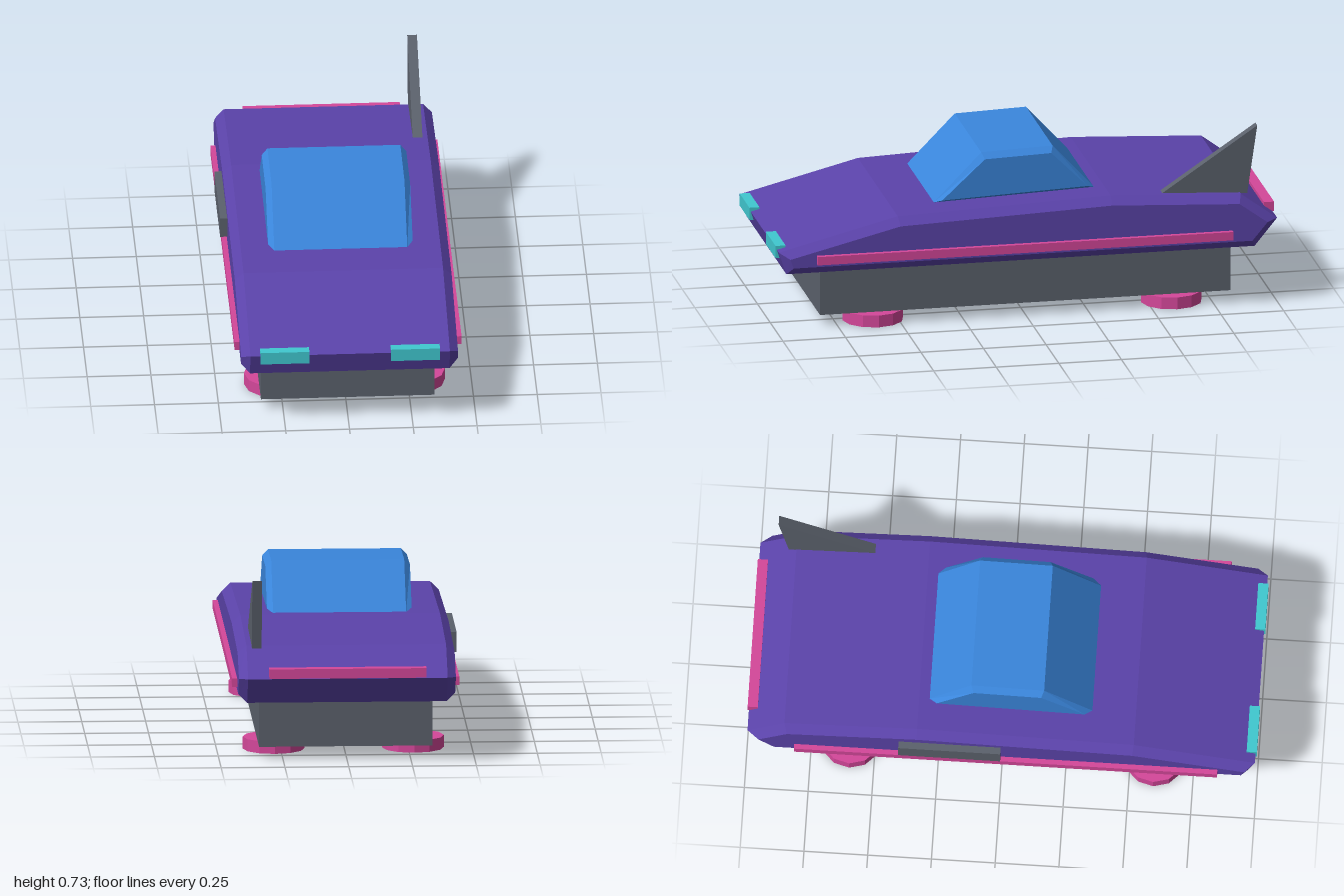
import * as THREE from 'three';

const flat = (name, color) => {
  const m = new THREE.MeshStandardMaterial({ color, flatShading: true });
  m.name = name;
  return m;
};

export function createModel() {
  const purple = flat('purple paint', 0x5b43aa);
  const blue = flat('blue glass', 0x3a86dc);
  const grey = flat('dark grey metal', 0x5b616c);
  const pink = flat('pink glow', 0xd4479a);
  const teal = flat('teal lamp', 0x40c8d0);

  const model = new THREE.Group();
  model.name = 'hoverCar';

  function add(name, geometry, material, x, y, z) {
    const mesh = new THREE.Mesh(geometry, material);
    mesh.name = name;
    mesh.position.set(x, y, z);
    model.add(mesh);
    return mesh;
  }

  // Box given by its limits on each axis
  function box(name, material, [x0, x1], [y0, y1], [z0, z1]) {
    return add(name, new THREE.BoxGeometry(x1 - x0, y1 - y0, z1 - z0), material,
      (x0 + x1) / 2, (y0 + y1) / 2, (z0 + z1) / 2);
  }

  // Side profile of [z, y] points, extruded across x with an optional chamfer
  function profile(name, material, points, x, width, chamfer = 0, inset = chamfer) {
    const shape = new THREE.Shape(points.map(([z, y]) => new THREE.Vector2(z, y)));
    const depth = width - 2 * chamfer;
    const geometry = new THREE.ExtrudeGeometry(shape, {
      depth, bevelEnabled: chamfer > 0, bevelSegments: 1,
      bevelThickness: chamfer, bevelSize: inset, bevelOffset: -inset,
    });
    geometry.translate(0, 0, -depth / 2);
    geometry.rotateY(-Math.PI / 2);
    return add(name, geometry, material, x, 0, 0);
  }

  const mid = 0.003;

  // Wedge body and cabin
  profile('body', purple, [
    [0.995, 0.33], [0.52, 0.45], [-0.33, 0.483], [-0.85, 0.457],
    [-0.995, 0.35], [-0.905, 0.24], [0.965, 0.24],
  ], mid, 0.85, 0.034, 0.032);
  profile('cabin', blue, [
    [0.35, 0.456], [0.16, 0.65], [-0.125, 0.66], [-0.29, 0.48],
  ], mid, 0.567, 0.023, 0.023);

  // Undercarriage
  box('chassis', grey, [-0.337, 0.343], [0.048, 0.25], [-0.82, 0.82]);
  for (const sx of [-1, 1]) {
    for (const sz of [-1, 1]) {
      add('hoverPad', new THREE.CylinderGeometry(0.121, 0.121, 0.048, 12), pink,
        mid + sx * 0.273, 0.024, sz * 0.596);
    }
    // Side light strip and headlight
    const cx = mid + sx * 0.425;
    box('sideStrip', pink, [cx - 0.02, cx + 0.02], [0.285, 0.319], [-0.81, 0.85]);
    const hx = mid + sx * 0.256;
    box('headlight', teal, [hx - 0.096, hx + 0.096], [0.296, 0.346], [0.96, 1]);
  }
  box('tailLight', pink, [-0.305, 0.311], [0.352, 0.39], [-1, -0.96]);

  // One-sided tail fin and side vent
  profile('tailFin', grey, [[-0.54, 0.472], [-0.92, 0.727], [-0.88, 0.452]], 0.355, 0.038);
  box('sideVent', grey, [-0.45, -0.415], [0.34, 0.42], [-0.4, 0]);

  return model;
}
